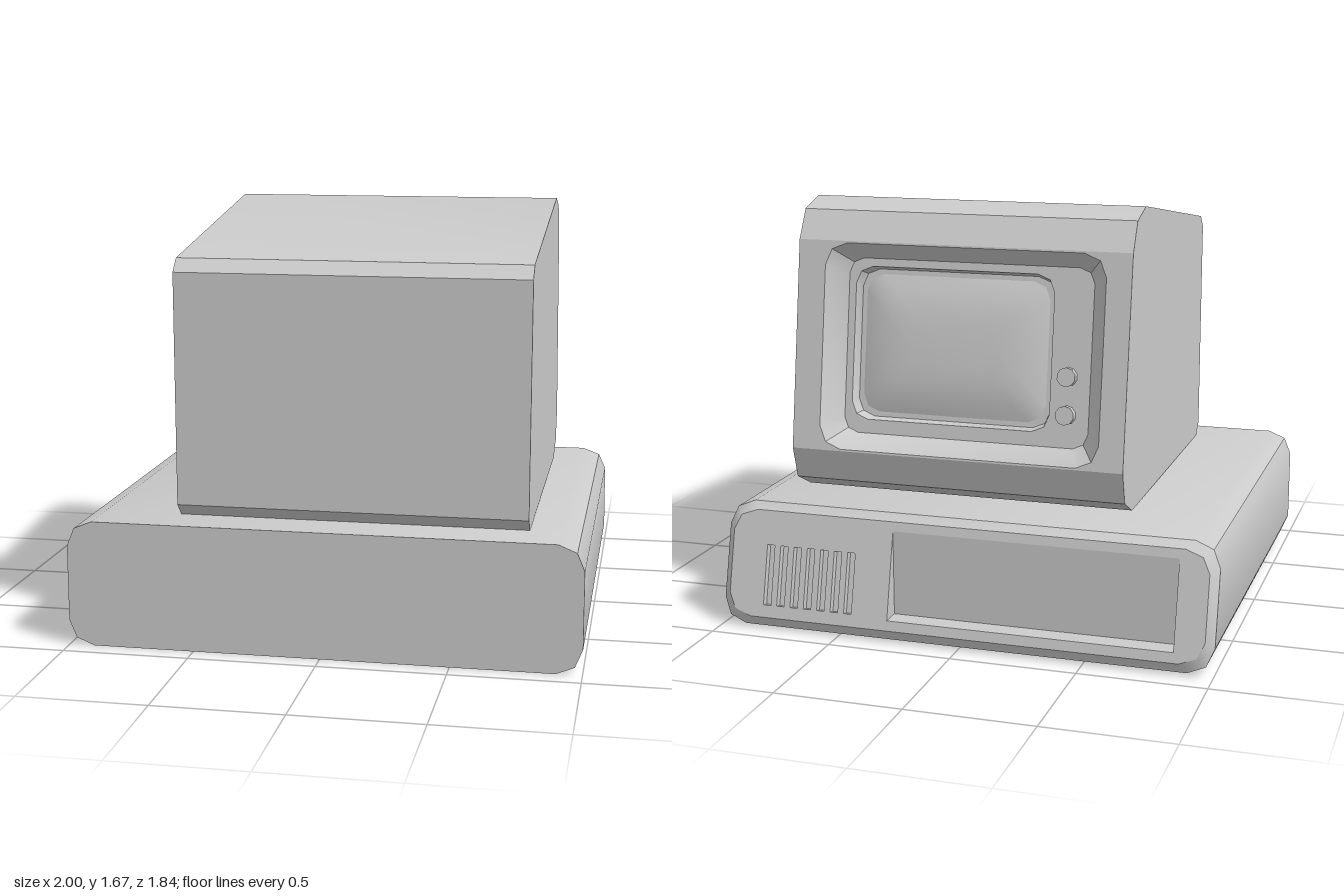
import * as THREE from 'three';
import { toCreasedNormals } from 'three/addons/utils/BufferGeometryUtils.js';

const grey = new THREE.MeshStandardMaterial({ color: 0xcccccc, side: THREE.DoubleSide });

function add(parent, name, geometry) {
  const mesh = new THREE.Mesh(geometry, grey);
  mesh.name = name;
  parent.add(mesh);
  return mesh;
}

// Rounded rectangle, counter-clockwise, two segments per corner
function roundRect(x0, x1, y0, y1, r) {
  const pts = [];
  const corners = [[x1 - r, y0 + r, -2], [x1 - r, y1 - r, 0], [x0 + r, y1 - r, 2], [x0 + r, y0 + r, 4]];
  for (const [cx, cy, start] of corners) {
    for (let i = 0; i <= 2; i++) {
      const a = (start + i) * Math.PI / 4;
      pts.push(new THREE.Vector2(cx + r * Math.cos(a), cy + r * Math.sin(a)));
    }
  }
  return pts;
}

const at = (pts, z) => pts.map(p => new THREE.Vector3(p.x, p.y, z));

// Skin over a row of cross-sections
function loft(loops, closed = true, capStart = false, capEnd = false) {
  const pos = [];
  const tri = (...vs) => vs.forEach(v => pos.push(v.x, v.y, v.z));
  const n = loops[0].length;
  for (let k = 0; k < loops.length - 1; k++) {
    const A = loops[k], B = loops[k + 1];
    for (let i = 0; i < (closed ? n : n - 1); i++) {
      const j = (i + 1) % n;
      tri(A[i], A[j], B[j]);
      tri(A[i], B[j], B[i]);
    }
  }
  const first = loops[0], last = loops[loops.length - 1];
  for (let i = 1; i < n - 1; i++) {
    if (capStart) tri(first[0], first[i + 1], first[i]);
    if (capEnd) tri(last[0], last[i], last[i + 1]);
  }
  const geo = new THREE.BufferGeometry();
  geo.setAttribute('position', new THREE.Float32BufferAttribute(pos, 3));
  return toCreasedNormals(geo, 0.55);
}

// Open [z, y] profile swept along x, with both ends capped
function prism(profile, x0, x1) {
  const row = x => profile.map(([z, y]) => new THREE.Vector3(x, y, z));
  return loft([row(x0), row(x1)], false, true, true);
}

// Flat sheet with holes
function sheet(outline, holes, z = 0) {
  const shape = new THREE.Shape(outline);
  holes.forEach(h => shape.holes.push(new THREE.Path(h)));
  return new THREE.ShapeGeometry(shape).translate(0, 0, z);
}

const rect = (x0, x1, y0, y1) => [[x0, y0], [x1, y0], [x1, y1], [x0, y1]].map(p => new THREE.Vector2(...p));

// Group lying on a sloped panel: local x runs to -x, y up the slope, z outward
function slopedGroup(name, y, z, dz, dy) {
  const g = new THREE.Group();
  const l = Math.hypot(dz, dy);
  g.name = name;
  g.position.set(0, y, z);
  g.quaternion.setFromRotationMatrix(new THREE.Matrix4().makeBasis(
    new THREE.Vector3(-1, 0, 0), new THREE.Vector3(0, dy / l, dz / l), new THREE.Vector3(0, dz / l, -dy / l)));
  return g;
}

function makeBase() {
  const base = new THREE.Group();
  base.name = 'baseUnit';
  const section = roundRect(-1, 1, 0, 0.5, 0.1);
  const ring = (sx, sy, cy, zOf) => section.map(p => {
    const y = cy + (p.y - 0.25) * sy;
    return new THREE.Vector3(-p.x * sx, y, zOf(y));
  });
  const slope = 0.1 / 0.415;
  const front = ring(0.967, 0.83, 0.2575, y => -0.92 + (y - 0.05) * slope);
  add(base, 'baseCase', loft([
    ring(1, 1, 0.25, () => 0.92),
    ring(1, 0.96, 0.25, y => -0.78 - (0.49 - y) * 0.25),
    front,
  ], true, true));

  // Sloped panel with the drive opening and the vents
  const panel = slopedGroup('basePanel', 0.05, -0.92, 0.1, 0.415);
  base.add(panel);
  const outline = front.map(p => new THREE.Vector2(-p.x, (p.y - 0.05) * Math.hypot(1, slope)));
  const holes = [rect(-0.29, 0.85, 0.04, 0.39)];
  add(panel, 'driveRecess', prism([[0, 0.39], [-0.08, 0.06], [0, 0.04]], -0.29, 0.85));
  for (let i = 0; i < 7; i++) {
    const u = -0.473 - i * 0.0575;
    holes.push(rect(u, u + 0.032, 0.05, 0.29));
    add(panel, 'ventSlot', prism([[0, 0.29], [-0.03, 0.29], [-0.03, 0.05], [0, 0.05]], u, u + 0.032));
  }
  add(panel, 'panelFace', sheet(outline, holes));
  return base;
}

function makeMonitor() {
  const monitor = new THREE.Group();
  monitor.name = 'monitor';
  // Case wraps from the top of the screen face round the back to its foot
  add(monitor, 'monitorCase', prism([
    [-0.545, 1.52], [-0.48, 1.635], [-0.345, 1.675], [0.74, 1.51], [0.79, 1.46],
    [0.79, 0.55], [0.74, 0.5], [-0.51, 0.5], [-0.63, 0.56], [-0.67, 0.69],
  ], -0.59, 0.78));

  // Screen face, sunken control panel and tube
  const face = slopedGroup('screenFace', 0.69, -0.67, 0.125, 0.83);
  monitor.add(face);
  const opening = roundRect(-0.665, 0.49, 0.008, 0.832, 0.09);
  const inner = roundRect(-0.6, 0.42, 0.07, 0.775, 0.06);
  const tube = d => roundRect(-0.57 + d, 0.26 - d, 0.126 + d, 0.743 - d, 0.07);
  add(face, 'faceFrame', sheet(rect(-0.78, 0.59, 0, 0.8394), [opening]));
  add(face, 'frameRecess', loft([at(opening, 0), at(inner, -0.1)]));
  add(face, 'controlPanel', sheet(inner, [tube(0)], -0.1));
  add(face, 'screenSurround', loft([at(tube(0), -0.1), at(tube(0.01), -0.15), at(tube(0.03), -0.15)]));
  add(face, 'screen', loft([
    at(tube(0.03), -0.15), at(tube(0.09), -0.128), at(tube(0.16), -0.115), at(tube(0.23), -0.11),
  ], true, false, true));
  for (const v of [0.2, 0.35]) {
    const knob = add(face, 'knob', toCreasedNormals(new THREE.CylinderGeometry(0.038, 0.038, 0.04, 10), 0.8));
    knob.rotation.x = Math.PI / 2;
    knob.position.set(0.33, v, -0.085);
  }
  return monitor;
}

export function createModel() {
  const model = new THREE.Group();
  model.name = 'desktopComputer';
  model.add(makeBase(), makeMonitor());
  return model;
}
